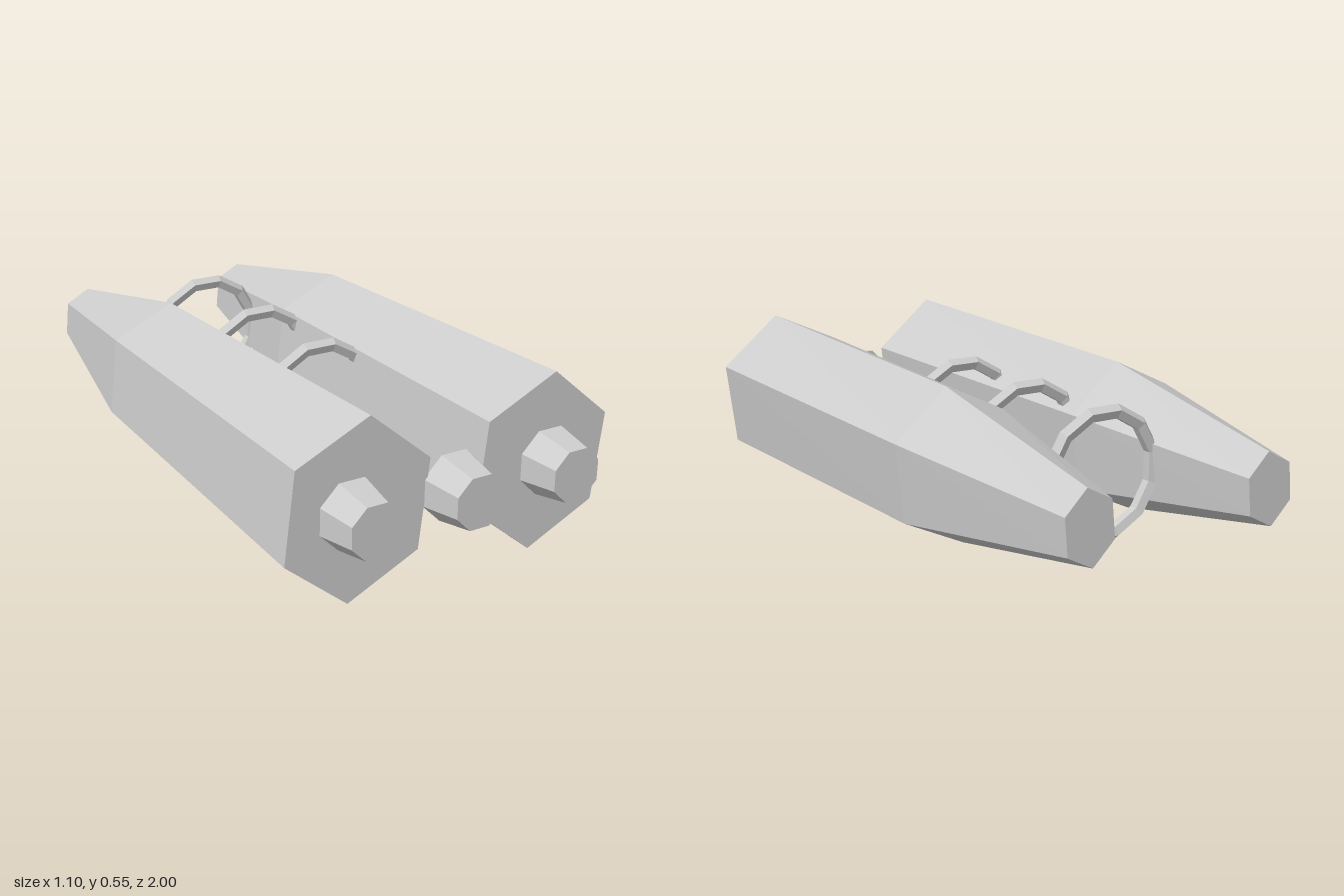
import * as THREE from 'three';

const CY = 0.278; // height of the common centre line

// Tapered six-sided hull lofted from cross-sections [z, x radius, y radius], front to back
function hullGeometry(sections) {
  const n = 6, start = THREE.MathUtils.degToRad(22.65);
  const pos = [], index = [];
  for (const [z, rx, ry] of sections) {
    for (let i = 0; i < n; i++) {
      const a = start + (i / n) * Math.PI * 2;
      pos.push(Math.cos(a) * rx, Math.sin(a) * ry, z);
    }
  }
  // side walls
  for (let s = 0; s < sections.length - 1; s++) {
    for (let i = 0; i < n; i++) {
      const a = s * n + i, b = s * n + (i + 1) % n;
      index.push(a, a + n, b, b, a + n, b + n);
    }
  }
  // end caps
  const last = (sections.length - 1) * n;
  for (let i = 1; i < n - 1; i++) {
    index.push(0, i, i + 1, last, last + i + 1, last + i);
  }
  const g = new THREE.BufferGeometry();
  g.setAttribute('position', new THREE.Float32BufferAttribute(pos, 3));
  g.setIndex(index);
  const flat = g.toNonIndexed();
  flat.computeVertexNormals();
  return flat;
}

export function createModel() {
  const model = new THREE.Group();
  model.name = 'twinHullShip';
  const grey = new THREE.MeshStandardMaterial({ color: 0xcccccc, flatShading: true });
  grey.name = 'light grey';

  const add = (name, geometry, x, y, z) => {
    const mesh = new THREE.Mesh(geometry, grey);
    mesh.name = name;
    mesh.position.set(x, y, z);
    model.add(mesh);
  };

  // Two parallel hulls, same orientation on both sides
  const hull = hullGeometry([
    [0.876, 0.252, 0.277],
    [-0.32, 0.218, 0.25],
    [-1, 0.089, 0.114],
  ]);
  add('leftHull', hull, 0.3165, CY, 0);
  add('rightHull', hull, -0.3165, CY, 0);

  // Three octagonal nozzles, narrowing toward the front
  const nozzle = new THREE.CylinderGeometry(0.085, 0.109, 0.13, 8);
  nozzle.rotateY(Math.PI / 8);
  nozzle.rotateX(Math.PI / 2);
  add('leftNozzle', nozzle, 0.34, CY, 0.935);
  add('middleNozzle', nozzle, 0, CY, 0.935);
  add('rightNozzle', nozzle, -0.34, CY, 0.935);

  // Rings joining the hulls
  const ring = new THREE.TorusGeometry(0.1915, 0.0233, 5, 12);
  ring.rotateZ(Math.PI / 12);
  [0.15, -0.24, -0.63].forEach((z, i) => add('connectingRing' + (i + 1), ring, 0, CY, z));

  return model;
}
